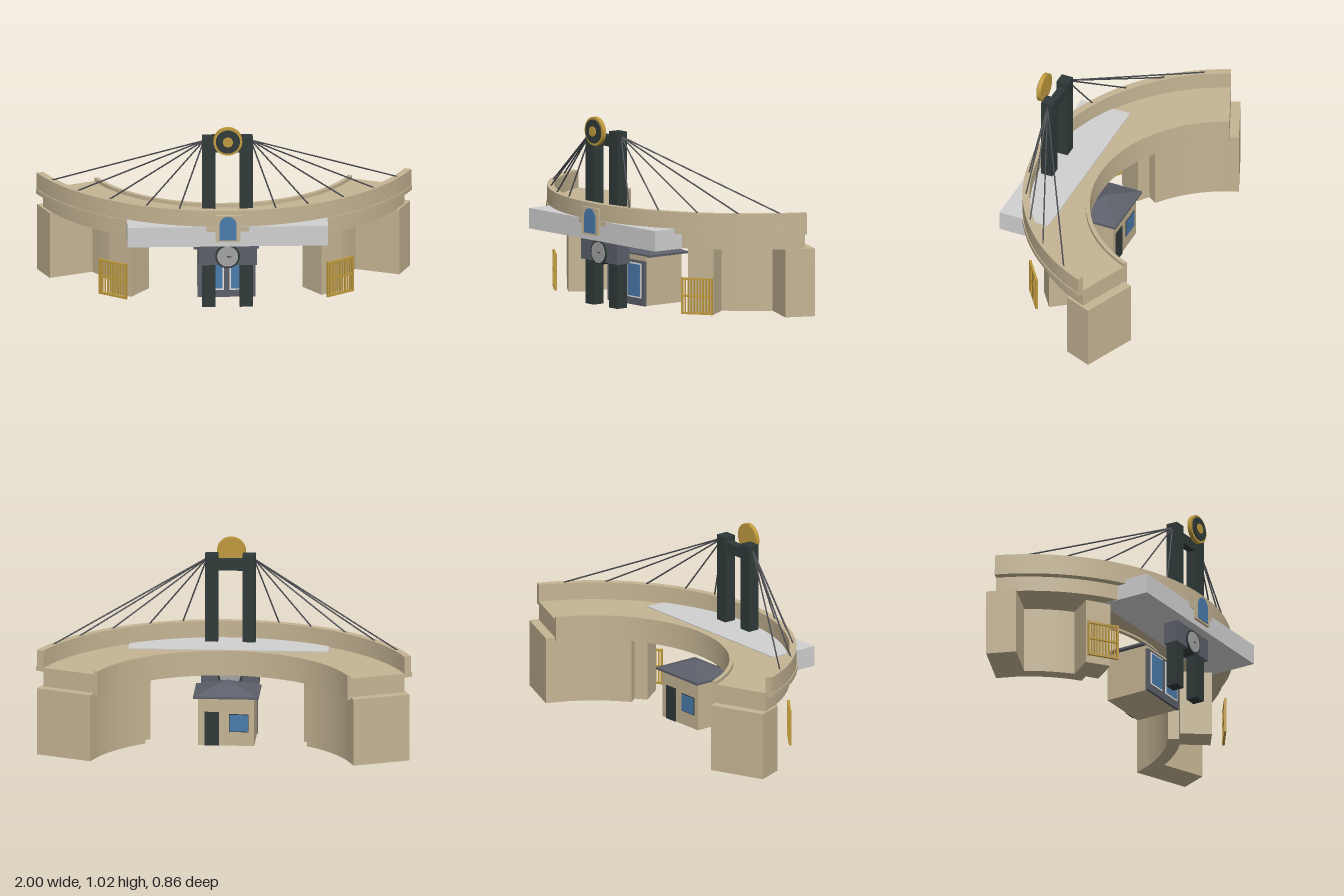
import * as THREE from 'three';
import { toCreasedNormals } from 'three/addons/utils/BufferGeometryUtils.js';

const mat = (name, color) => Object.assign(new THREE.MeshStandardMaterial({ color }), { name });
const M = {
  stone: mat('sandstone', 0xc4b493),
  slab: mat('pale concrete', 0xd0d0d0),
  dark: mat('dark steel', 0x2f3939),
  slate: mat('slate', 0x5c5f69),
  gold: mat('gold', 0xc09a3e),
  blue: mat('blue glass', 0x4a7bab),
  white: mat('white trim', 0xe6e6e6),
  grey: mat('dial grey', 0xa2a2a2),
  cable: mat('cable', 0x4a4c50),
};

const CZ = -0.663;          // centre of the crescent
const END = Math.PI / 8;    // angle of the crescent ends

function add(parent, name, geo, material, x = 0, y = 0, z = 0) {
  const m = new THREE.Mesh(geo, material);
  m.name = name;
  m.position.set(x, y, z);
  parent.add(m);
  return m;
}

// box given by its limits on each axis
function box(parent, name, material, x0, x1, y0, y1, z0, z1) {
  return add(parent, name, new THREE.BoxGeometry(x1 - x0, y1 - y0, z1 - z0), material,
    (x0 + x1) / 2, (y0 + y1) / 2, (z0 + z1) / 2);
}

// curved block between two radii, heights and angles
function arc(parent, name, material, r0, r1, y0, y1, a0 = END, a1 = Math.PI - END) {
  const s = new THREE.Shape();
  s.absarc(0, 0, r1, a0, a1, false);
  s.absarc(0, 0, r0, a1, a0, true);
  let g = new THREE.ExtrudeGeometry(s, { depth: y1 - y0, bevelEnabled: false, curveSegments: 40 });
  g.rotateX(Math.PI / 2);
  g = toCreasedNormals(g, 0.5);
  return add(parent, name, g, material, 0, y1, CZ);
}

// disc facing the front
function disc(parent, name, material, r, y, z0, z1) {
  const g = toCreasedNormals(new THREE.CylinderGeometry(r, r, z1 - z0, 40).rotateX(Math.PI / 2), 0.5);
  return add(parent, name, g, material, 0, y, (z0 + z1) / 2);
}

// group placed on the crescent, local +x pointing outward
function radial(parent, name, side, angle, r, tangent = 0) {
  const g = new THREE.Group();
  g.name = name;
  const c = Math.cos(angle), s = Math.sin(angle);
  g.position.set(side * (r * c - tangent * s), 0, CZ + r * s + tangent * c);
  g.rotation.y = side > 0 ? -angle : angle - Math.PI;
  parent.add(g);
  return g;
}

function rod(parent, name, material, a, b, r) {
  const d = b.clone().sub(a);
  const m = add(parent, name, new THREE.CylinderGeometry(r, r, d.length(), 8), material);
  m.position.copy(a).lerp(b, 0.5);
  m.quaternion.setFromUnitVectors(new THREE.Vector3(0, 1, 0), d.normalize());
}

function gate(parent, side) {
  const g = radial(parent, 'gate', side, 0.951, 1.04);
  const w = 0.082;
  for (const y of [0.015, 0.108, 0.2]) box(g, 'gateRail', M.gold, -0.006, 0.006, y - 0.005, y + 0.005, -w, w);
  for (const z of [-w, w]) box(g, 'gatePost', M.gold, -0.007, 0.007, 0.01, 0.207, z - 0.005, z + 0.005);
  for (let i = 1; i < 10; i++) {
    const z = -w + (2 * w * i) / 10;
    box(g, 'gateBar', M.gold, -0.004, 0.004, 0.015, 0.2, z - 0.0035, z + 0.0035);
  }
}

function house(parent) {
  const h = new THREE.Group();
  h.name = 'house';
  parent.add(h);
  box(h, 'houseWalls', M.stone, -0.15, 0.15, 0, 0.265, -0.075, 0.168);
  box(h, 'eaves', M.slate, -0.174, 0.174, 0.262, 0.274, -0.1, 0.165);
  // hipped roof
  const roof = new THREE.ConeGeometry(Math.SQRT1_2, 1, 4, 1).rotateY(Math.PI / 4).toNonIndexed();
  roof.scale(0.34, 0.06, 0.26);
  roof.computeVertexNormals();
  add(h, 'roof', roof, M.slate, 0, 0.304, 0.033);
  // front surround with glazed doors
  box(h, 'doorSurround', M.slate, -0.155, 0.155, 0, 0.24, 0.168, 0.183);
  for (const s of [-1, 1]) {
    const d = new THREE.Group();
    d.name = 'frontDoor';
    d.position.x = s * 0.073;
    h.add(d);
    box(d, 'doorFrame', M.white, -0.058, 0.058, 0.04, 0.228, 0.183, 0.186);
    box(d, 'doorGlass', M.blue, -0.05, 0.05, 0.048, 0.22, 0.186, 0.189);
  }
  // back door and window
  box(h, 'backDoor', M.dark, 0.037, 0.115, 0, 0.185, -0.081, -0.075);
  box(h, 'windowFrame', M.dark, -0.121, -0.015, 0.076, 0.174, -0.079, -0.075);
  box(h, 'windowGlass', M.blue, -0.117, -0.019, 0.08, 0.17, -0.082, -0.078);
}

export function createModel() {
  const model = new THREE.Group();
  model.name = 'crescentBridge';

  // crescent deck with parapets and a straight slab through it
  arc(model, 'deck', M.stone, 0.735, 1.04, 0.363, 0.466);
  arc(model, 'innerParapet', M.stone, 0.72, 0.742, 0.35, 0.485);
  arc(model, 'outerParapet', M.stone, 1.04, 1.078, 0.446, 0.56);
  arc(model, 'moulding', M.stone, 1.042, 1.083, 0.445, 0.47);
  box(model, 'crossSlab', M.slab, -0.533, 0.533, 0.361, 0.471, 0.13, 0.414);

  // wings below the deck, with their gates
  for (const side of [1, -1]) {
    const a0 = END, a1 = 0.95;
    if (side > 0) arc(model, 'wingWall', M.stone, 0.74, 0.81, 0, 0.363, a0, a1);
    else arc(model, 'wingWall', M.stone, 0.74, 0.81, 0, 0.363, Math.PI - a1, Math.PI - a0);
    const end = radial(model, 'endBlock', side, END, 0.895, 0.03);
    box(end, 'endBlockBody', M.stone, -0.157, 0.157, 0, 0.364, -0.081, 0.081);
    const pier = radial(model, 'gatePier', side, 0.951, 0.885);
    box(pier, 'gatePierBody', M.stone, -0.085, 0.085, 0, 0.363, -0.07, 0.07);
    gate(model, side);
  }

  house(model);

  // twin pylons and cables
  box(model, 'crossBeam', M.dark, -0.07, 0.07, 0.862, 0.92, 0.295, 0.337);
  for (const side of [1, -1]) {
    const p = box(model, 'pylon', M.dark, -0.035, 0.035, 0, 0.948, 0.285, 0.35);
    p.position.x = side * 0.1;
    for (const deg of [30, 42, 54, 66, 76]) {
      const a = THREE.MathUtils.degToRad(deg);
      rod(model, 'stayCable', M.cable, new THREE.Vector3(side * 0.125, 0.924, 0.317),
        new THREE.Vector3(side * 1.06 * Math.cos(a), 0.558, CZ + 1.06 * Math.sin(a)), 0.004);
    }
  }

  // hanging clock housing with a dial on both faces
  box(model, 'clockHousing', M.slate, -0.155, 0.155, 0.24, 0.363, 0.283, 0.365);
  disc(model, 'dialRim', M.dark, 0.066, 0.29, 0.277, 0.371);
  disc(model, 'dial', M.grey, 0.056, 0.29, 0.274, 0.374);
  box(model, 'clockHand', M.dark, -0.003, 0.003, 0.288, 0.295, 0.374, 0.376);
  box(model, 'clockHand', M.dark, 0, 0.02, 0.287, 0.291, 0.374, 0.376);

  // gold roundel above the beam
  disc(model, 'roundel', M.gold, 0.077, 0.944, 0.38, 0.403);
  disc(model, 'roundelRing', M.dark, 0.064, 0.944, 0.403, 0.409);
  disc(model, 'roundelHub', M.gold, 0.027, 0.944, 0.409, 0.415);

  // arched window on the parapet
  box(model, 'windowPlaque', M.stone, -0.066, 0.066, 0.39, 0.537, 0.4, 0.428);
  const arch = new THREE.Shape();
  arch.moveTo(-0.045, 0.4);
  arch.lineTo(0.045, 0.4);
  arch.lineTo(0.045, 0.487);
  arch.absarc(0, 0.487, 0.045, 0, Math.PI, false);
  add(model, 'archedGlass', new THREE.ExtrudeGeometry(arch, { depth: 0.005, bevelEnabled: false }), M.blue, 0, 0, 0.428);

  return model;
}
